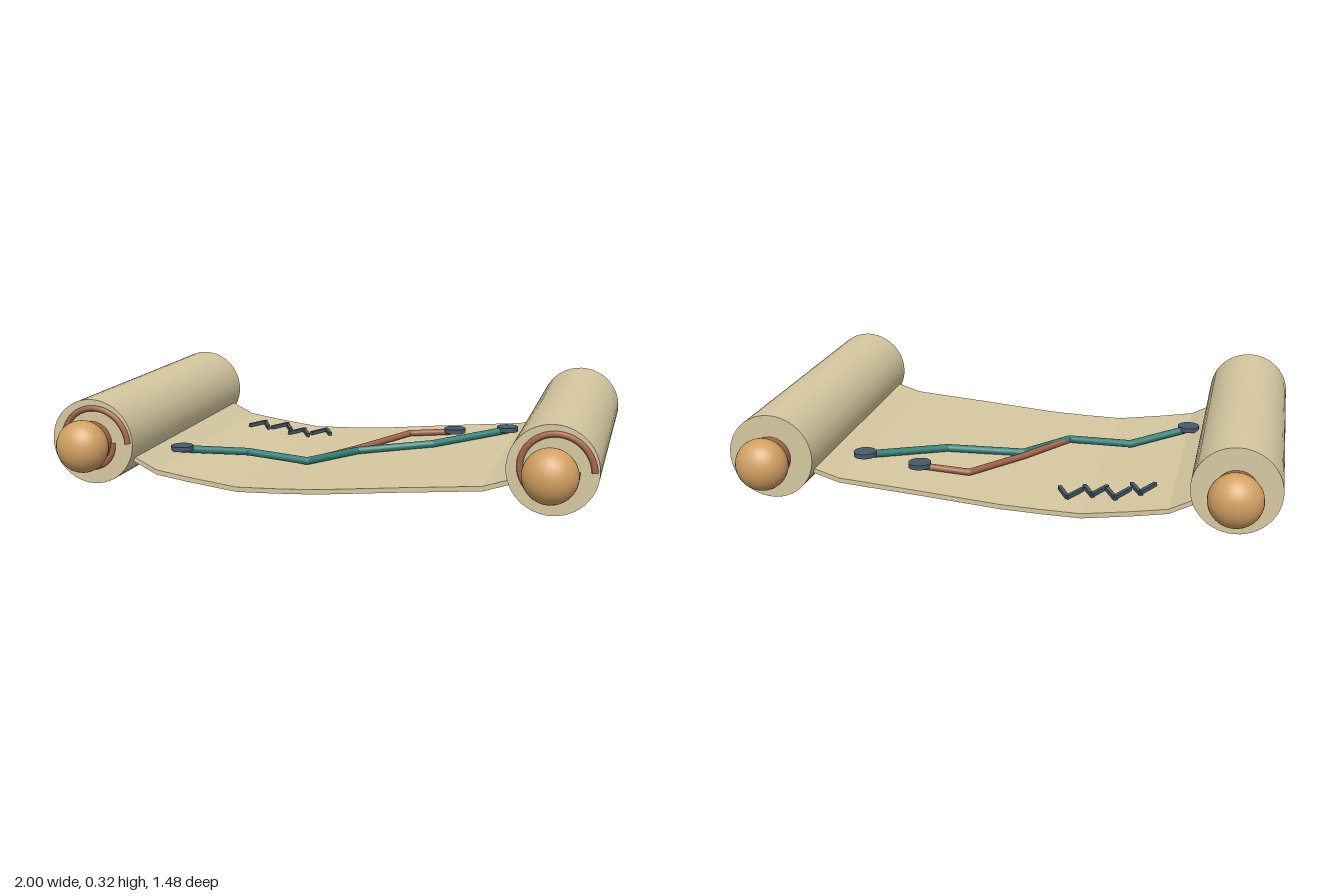
import * as THREE from 'three';

const mat = (name, color) => Object.assign(new THREE.MeshStandardMaterial({ color }), { name });

export function createModel() {
  const parchment = mat('parchment', 0xd6c8a0);
  const wood = mat('honey wood', 0xd2a062);
  const terracotta = mat('terracotta', 0xa4664c);
  const teal = mat('teal', 0x2f7f78);
  const slate = mat('slate blue', 0x465a6e);

  const root = new THREE.Group();
  root.name = 'mapScroll';
  const add = (parent, name, geometry, material, x = 0, y = 0, z = 0) => {
    const mesh = new THREE.Mesh(geometry, material);
    mesh.name = name;
    mesh.position.set(x, y, z);
    parent.add(mesh);
    return mesh;
  };

  // Sagging sheet: underside profile, thickened and extruded along z
  const sag = [[-0.76, 0.12], [-0.7, 0.09], [-0.61, 0.045], [-0.49, 0.026], [-0.3, 0.001], [-0.15, 0.005],
    [0, 0.012], [0.3, 0.04], [0.6, 0.066], [0.7, 0.098], [0.76, 0.12]];
  const thick = 0.018;
  const outline = [...sag, ...sag.map(([x, y]) => [x, y + thick]).reverse()];
  const sheet = new THREE.ExtrudeGeometry(
    new THREE.Shape(outline.map(p => new THREE.Vector2(...p))), { depth: 1.06, bevelEnabled: false });
  add(root, 'sheet', sheet, parchment, 0, 0, -0.53);

  const sheetTop = x => {
    const i = Math.max(1, sag.findIndex(p => p[0] >= x));
    const [x0, y0] = sag[i - 1], [x1, y1] = sag[i];
    return y0 + (y1 - y0) * (x - x0) / (x1 - x0) + thick;
  };

  // Rolled ends with rod, knobs and paper spiral on the front
  const spiralPoints = [];
  for (let i = 0; i <= 48; i++) {
    const a = i / 48 * Math.PI * 2;
    const r = 0.14 - 0.0095 * a;
    spiralPoints.push(new THREE.Vector3(Math.cos(a) * r, Math.sin(a) * r, 0));
  }
  const spiral = new THREE.TubeGeometry(new THREE.CatmullRomCurve3(spiralPoints), 64, 0.011, 8);
  const roll = new THREE.CylinderGeometry(0.158, 0.158, 1.152, 48).rotateX(Math.PI / 2);
  const rod = new THREE.CylinderGeometry(0.077, 0.077, 1.28, 32).rotateX(Math.PI / 2);
  const knob = new THREE.SphereGeometry(0.096, 32, 20).scale(1, 1, 0.86);
  for (const [side, x] of [['left', 0.84], ['right', -0.84]]) {
    const g = new THREE.Group();
    g.name = side + 'Roller';
    g.position.set(x, 0.167, 0);
    root.add(g);
    add(g, 'roll', roll, parchment);
    add(g, 'rod', rod, terracotta);
    add(g, 'frontKnob', knob, wood, 0, 0, 0.657);
    add(g, 'backKnob', knob, wood, 0, 0, -0.657);
    add(g, 'paperSpiral', spiral, terracotta, 0, 0, 0.577);
  }

  // Routes: straight tubes joined by small balls
  const route = (name, points, radius, material) => {
    const g = new THREE.Group();
    g.name = name;
    root.add(g);
    const v = points.map(p => new THREE.Vector3(...p));
    v.forEach((p, i) => {
      add(g, 'bend', new THREE.SphereGeometry(radius, 12, 8), material, p.x, p.y, p.z);
      if (!i) return;
      const line = new THREE.LineCurve3(v[i - 1], p);
      add(g, 'segment', new THREE.TubeGeometry(line, 1, radius, 12), material);
    });
  };
  route('mainRoute', [[-0.615, 0.083, 0.27], [-0.395, 0.052, 0.13], [-0.14, 0.04, 0.17],
    [0.01, 0.044, -0.03], [0.3, 0.071, -0.11], [0.57, 0.099, -0.315]], 0.015, teal);
  route('branchRoute', [[-0.14, 0.038, 0.17], [0, 0.044, -0.065], [0.16, 0.06, -0.32],
    [0.35, 0.076, -0.33]], 0.013, terracotta);

  // Marker discs at the route ends
  const disc = new THREE.CylinderGeometry(0.043, 0.043, 0.018, 24);
  for (const p of [[-0.615, 0.088, 0.27], [0.57, 0.104, -0.315], [0.35, 0.082, -0.33]])
    add(root, 'marker', disc, slate, ...p);

  // Mountain marks: two slanted bars each
  const bar = new THREE.BoxGeometry(0.014, 0.014, 0.1);
  [[-0.495, -0.385], [-0.407, -0.42], [-0.319, -0.385], [-0.231, -0.42]].forEach(([x, z]) => {
    for (const s of [-1, 1]) {
      const cx = x + s * 0.021;
      const m = add(root, 'mountainMark', bar, slate, cx, sheetTop(cx) + 0.012, z + 0.042);
      m.rotation.y = s * 0.46;
    }
  });
  return root;
}
